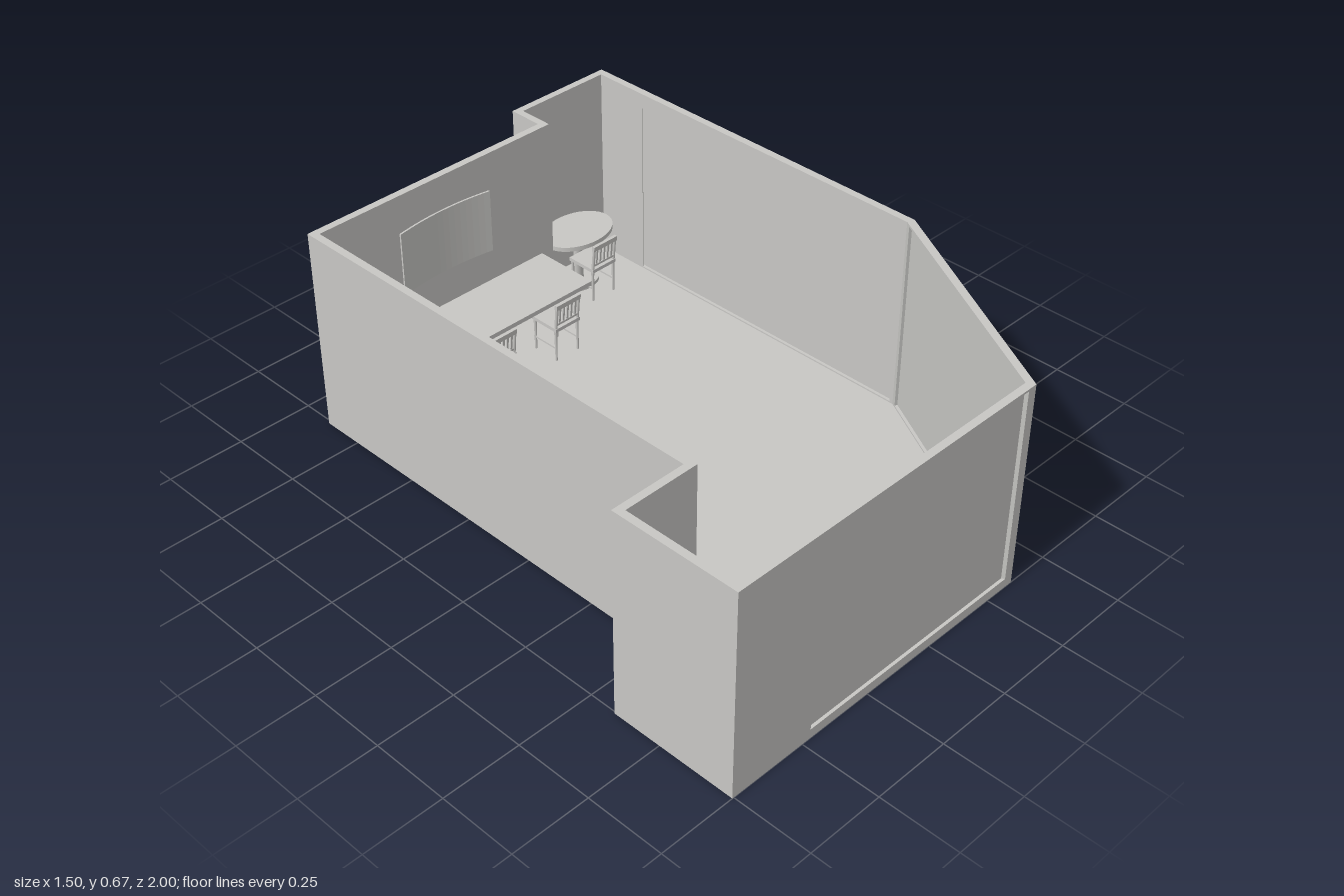
import * as THREE from 'three';

const plaster = new THREE.MeshStandardMaterial({ color: 0xc8c7c4 });
plaster.name = 'warm grey';

const H = 0.67, FLOOR = 0.025;

// Plan corners [x, z], outer and inner face of the walls
const OUTER = [[0.37, -1], [0.75, -1], [0.75, 0.28], [0.355, 1], [-0.755, 1],
  [-0.755, 0.59], [-0.51, 0.59], [-0.51, -0.885], [0.37, -0.885]];
const INNER = [[0.393, -0.977], [0.726, -0.977], [0.726, 0.272], [0.341, 0.976], [-0.731, 0.976],
  [-0.731, 0.614], [-0.486, 0.614], [-0.486, -0.861], [0.393, -0.861]];

// Window per wall index: start and end along the wall, sill and head height
const WINDOWS = {
  1: [0.148, 0.99, 0.03, 0.62],
  2: [0.02, 0.98, 0.03, 0.663],
  3: [0.027, 0.743, 0.03, 0.663],
};

function add(parent, name, geometry, x = 0, y = 0, z = 0) {
  const mesh = new THREE.Mesh(geometry, plaster);
  mesh.name = name;
  mesh.position.set(x, y, z);
  parent.add(mesh);
  return mesh;
}

const box = (parent, name, w, h, d, x, y, z) =>
  add(parent, name, new THREE.BoxGeometry(w, h, d), x, y, z);

// Upright prism over a plan outline
function prism(points, y0, y1) {
  const shape = new THREE.Shape(points.map(([x, z]) => new THREE.Vector2(x, -z)));
  return new THREE.ExtrudeGeometry(shape, { depth: y1 - y0, bevelEnabled: false })
    .rotateX(-Math.PI / 2).translate(0, y0, 0);
}

const mix = (a, b, t) => [a[0] + (b[0] - a[0]) * t, a[1] + (b[1] - a[1]) * t];

// Piece of wall i between t0..t1 along it and d0..d1 through it
function wallPiece(i, t0, t1, d0, d1, y0, y1) {
  const j = (i + 1) % OUTER.length;
  const at = (t, d) => mix(mix(OUTER[i], OUTER[j], t), mix(INNER[i], INNER[j], t), d);
  return prism([at(t0, d0), at(t1, d0), at(t1, d1), at(t0, d1)], y0, y1);
}

function buildWalls(room) {
  const walls = new THREE.Group();
  walls.name = 'walls';
  room.add(walls);
  OUTER.forEach((_, i) => {
    const win = WINDOWS[i];
    if (!win) {
      add(walls, 'wall', wallPiece(i, 0, 1, 0, 1, 0, H));
      return;
    }
    const [a, b, sill, head] = win;
    add(walls, 'windowJamb', wallPiece(i, 0, a, 0, 1, 0, H));
    add(walls, 'windowJamb', wallPiece(i, b, 1, 0, 1, 0, H));
    add(walls, 'windowSill', wallPiece(i, a, b, 0, 1, 0, sill));
    add(walls, 'windowLintel', wallPiece(i, a, b, 0, 1, head, H));
    add(walls, 'windowPane', wallPiece(i, a, b, 0.4, 0.6, sill, head));
  });
}

// Chair with its back towards +z; x is the middle, z the rear of the back
function chair(room, name, x, z, w, depth, { seat = 0.115, height = 0.21, arms = false, padded = false } = {}) {
  const g = new THREE.Group();
  g.name = name;
  g.position.set(x, FLOOR, z);
  room.add(g);
  const r = 0.005, hw = w / 2 - r;
  box(g, 'seat', w, padded ? 0.025 : 0.012, depth - 0.01, 0, seat, -depth / 2 - 0.005);
  for (const s of [-1, 1]) {
    const leg = new THREE.CylinderGeometry(r, r * 0.7, seat, 8);
    add(g, 'frontLeg', leg, s * hw, seat / 2, -depth + r + 0.004);
    add(g, 'backLeg', leg, s * hw, seat / 2, -0.018);
    box(g, 'sideRail', 0.005, 0.006, depth - 0.02, s * hw, seat * 0.4, -depth / 2 - 0.006);
    const post = add(g, 'backPost', new THREE.CylinderGeometry(r, r, height - seat, 8),
      s * hw, (height + seat) / 2, -0.012);
    post.rotation.x = 0.1;
    if (arms) {
      box(g, 'armrest', 0.012, 0.008, depth * 0.75, s * (hw + 0.009), seat + 0.045, -depth * 0.45);
      box(g, 'armPost', 0.007, 0.045, 0.007, s * (hw + 0.009), seat + 0.022, -depth * 0.75);
    }
  }
  const back = new THREE.Group();
  back.name = 'backrest';
  back.position.set(0, (height + seat) / 2, -0.012);
  back.rotation.x = 0.1;
  g.add(back);
  const bh = height - seat;
  if (padded) {
    box(back, 'backPad', w, bh * 0.85, 0.014, 0, 0.008, 0);
  } else {
    box(back, 'topRail', w, 0.018, 0.01, 0, bh / 2 - 0.009, 0);
    box(back, 'lowerRail', w - 0.01, 0.008, 0.007, 0, -bh / 2 + 0.02, 0);
    for (let i = -2; i <= 2; i++) box(back, 'slat', 0.007, bh - 0.03, 0.005, i * w * 0.16, 0, 0);
  }
}

// Shallow curved screen, hollow side to the room
function buildScreen(room) {
  const cx = -0.06, half = 0.172, edge = -0.822, bow = 0.016, thick = 0.006, n = 16;
  const arc = (offset) => Array.from({ length: n + 1 }, (_, i) => {
    const u = (i / n) * 2 - 1;
    return [cx + u * half, edge - bow * (1 - u * u) - offset];
  });
  add(room, 'curvedScreen', prism([...arc(0), ...arc(thick).reverse()], 0.36, 0.57));
  box(room, 'screenBracket', 0.08, 0.07, 0.02, cx, 0.465, -0.852);
}

export function createModel() {
  const room = new THREE.Group();
  room.name = 'room';

  add(room, 'floor', prism(INNER, 0, FLOOR));
  buildWalls(room);
  buildScreen(room);

  // Long counter fixed to the back wall
  box(room, 'counterTop', 0.785, 0.015, 0.226, -0.0475, 0.2175, -0.748);
  for (const x of [-0.42, -0.18, 0.085, 0.325]) {
    box(room, 'counterBracket', 0.012, 0.04, 0.1, x, 0.19, -0.811);
  }
  for (const x of [-0.313, -0.05, 0.213]) chair(room, 'counterChair', x, -0.594, 0.1, 0.12);

  // Oval table in the alcove
  const oval = (name, r, h, y) => {
    const m = add(room, name, new THREE.CylinderGeometry(r, r, h, 40), 0.522, y, -0.884);
    m.scale.z = 0.72;
  };
  oval('ovalTableTop', 0.128, 0.015, 0.2175);
  oval('ovalTableStem', 0.018, 0.185, 0.1175);
  oval('ovalTableFoot', 0.075, 0.012, 0.031);
  chair(room, 'alcoveChair', 0.522, -0.752, 0.1, 0.12);

  // Side cabinet in the front corner
  box(room, 'cabinet', 0.155, 0.2, 0.23, -0.638, FLOOR + 0.1, 0.785);

  // Row of seats along the front wall
  chair(room, 'wideChair', -0.437, 0.92, 0.122, 0.148, { seat: 0.11 });
  chair(room, 'narrowChair', -0.325, 0.9, 0.088, 0.136);
  chair(room, 'paddedChair', -0.2, 0.905, 0.118, 0.15, { seat: 0.1, padded: true });
  chair(room, 'armChair', -0.022, 0.922, 0.1, 0.14, { arms: true });

  return room;
}
